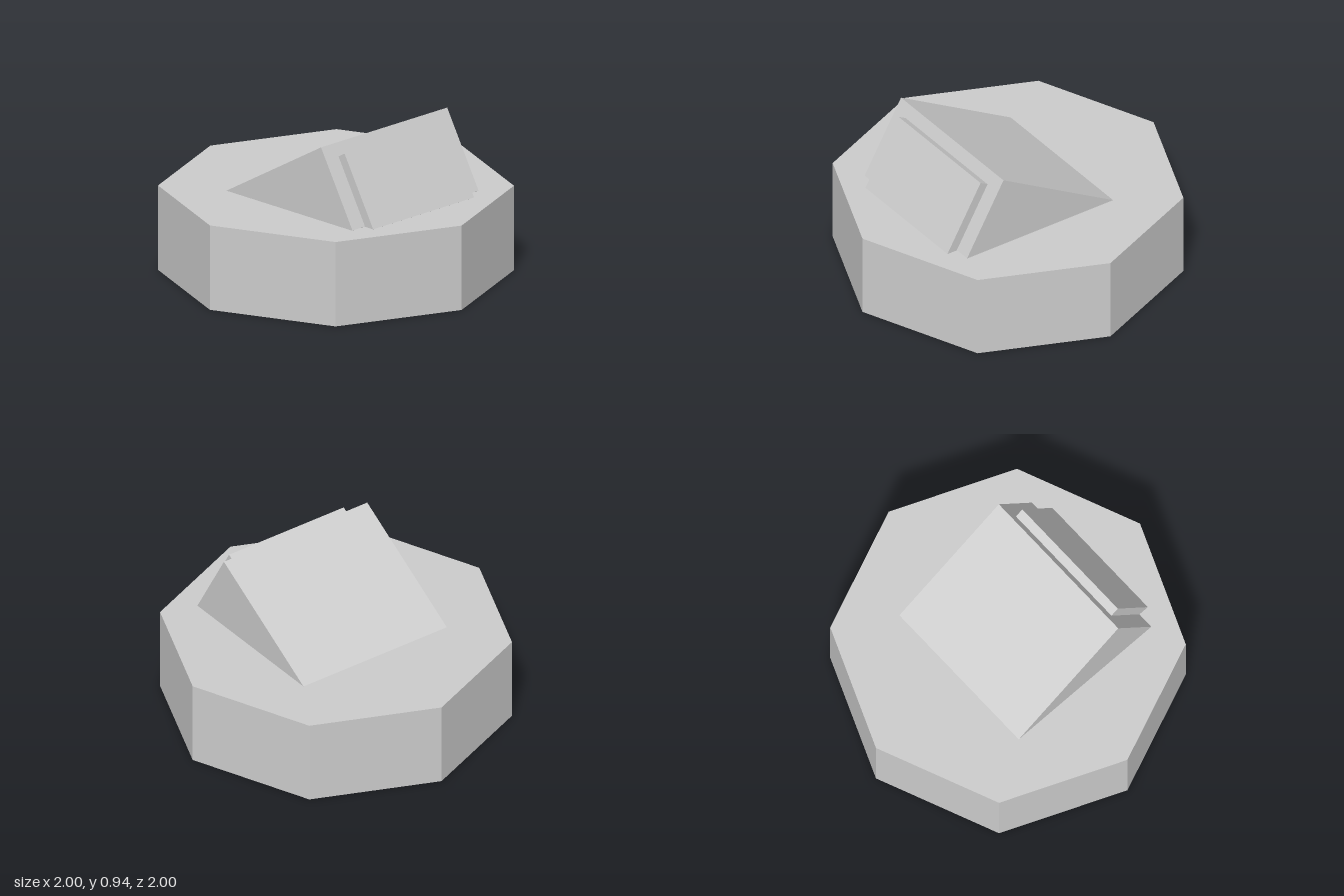
import * as THREE from 'three';

const TILT = Math.PI / 6;

export function createModel() {
  const group = new THREE.Group();
  const material = new THREE.MeshStandardMaterial({ color: 0xcccccc, flatShading: true });

  function add(name, geometry, x, y, tilt = 0) {
    const mesh = new THREE.Mesh(geometry, material);
    mesh.name = name;
    mesh.position.set(x, y, 0);
    mesh.rotation.z = tilt;
    group.add(mesh);
  }

  // Box leaning by TILT, placed by its uppermost corner
  function addTilted(name, length, height, depth, topX, topY) {
    const c = Math.cos(TILT), s = Math.sin(TILT);
    const x = topX - (length / 2) * c + (height / 2) * s;
    const y = topY - (length / 2) * s - (height / 2) * c;
    add(name, new THREE.BoxGeometry(length, height, depth), x, y, TILT);
  }

  // Eight-sided base
  add('base', new THREE.CylinderGeometry(1, 1, 0.5, 8), 0, 0.25);

  // Slanted block sunk into the base, with a raised panel on its steep face
  addTilted('slantedBlock', 1, 0.5, 1, 0.383, 0.935);
  addTilted('facePanel', 0.1, 0.455, 0.8, 0.47, 0.895);

  return group;
}
